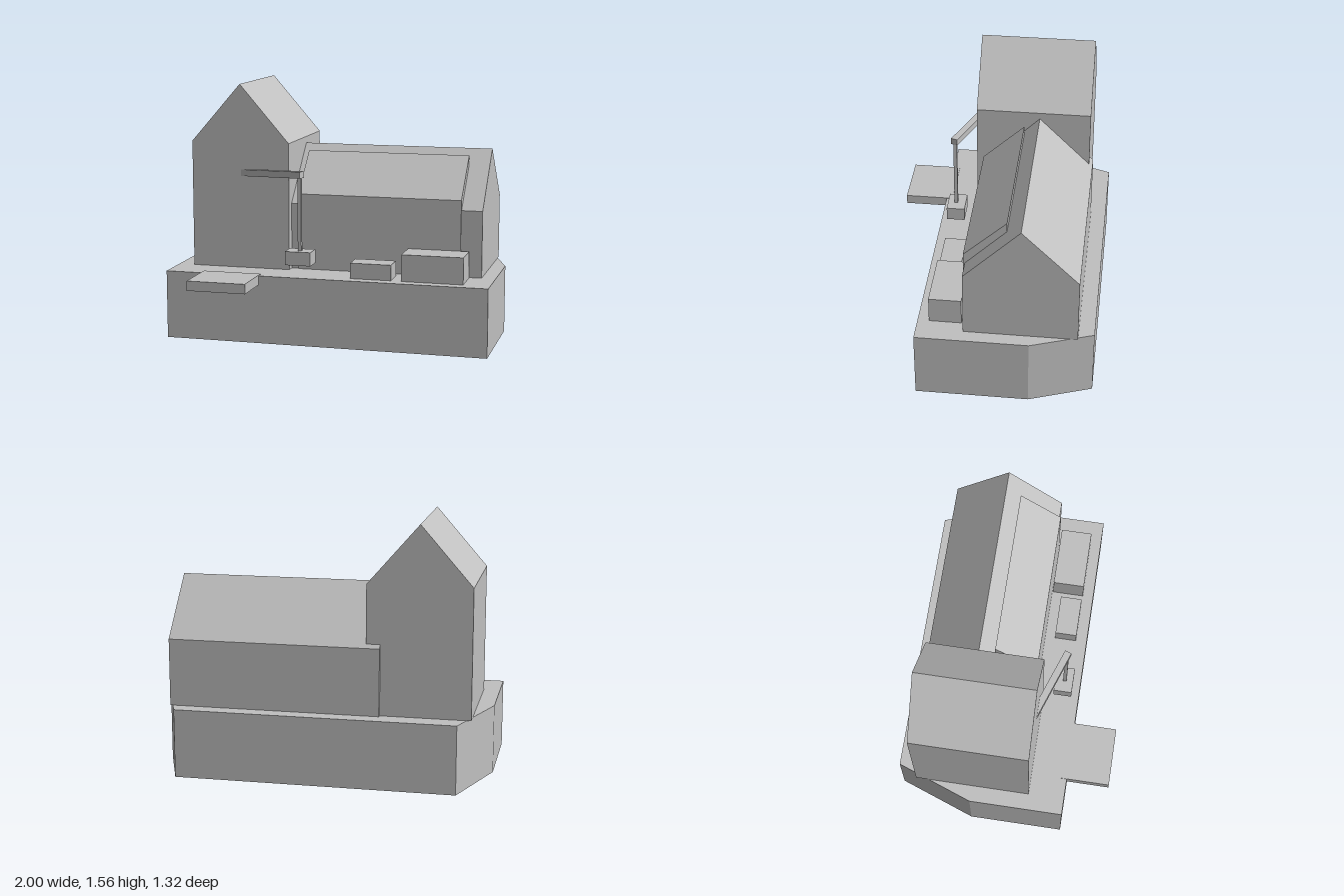
import * as THREE from 'three';

export function createModel() {
  const model = new THREE.Group();
  model.name = 'buildingBlock';
  const grey = new THREE.MeshStandardMaterial({ color: 0xc0c0c0 });
  grey.name = 'plain grey';

  const add = (name, geometry) => {
    const mesh = new THREE.Mesh(geometry, grey);
    mesh.name = name;
    model.add(mesh);
    return mesh;
  };

  // Box given by its limits on each axis
  const box = (name, [x0, x1], [y0, y1], [z0, z1]) =>
    add(name, new THREE.BoxGeometry(x1 - x0, y1 - y0, z1 - z0)
      .translate((x0 + x1) / 2, (y0 + y1) / 2, (z0 + z1) / 2));

  // Outline extruded from depth 0 along +z
  const prism = (points, depth) => new THREE.ExtrudeGeometry(
    new THREE.Shape(points.map(([a, b]) => new THREE.Vector2(a, b))),
    { depth, bevelEnabled: false });

  // Profile of [z, y] points run along x from x0 to x1
  const alongX = (name, points, x0, x1) =>
    add(name, prism(points.map(([z, y]) => [-z, y]), x1 - x0)
      .rotateY(Math.PI / 2).translate(x0, 0, 0));

  const deck = 0.42;

  // Plinth with two cut rear corners, outline as [x, -z]
  add('plinth', prism([
    [-1, -0.39], [1, -0.39], [1, 0.285], [0.865, 0.66], [-0.83, 0.66], [-1, 0.19],
  ], deck).rotateX(-Math.PI / 2));

  // Landing slab projecting from the front edge
  box('landing', [-0.77, -0.405], [0.365, 0.425], [0.35, 0.655]);

  // Tall gabled tower, ridge running front to back
  add('tower', prism([
    [-0.9, deck], [-0.277, deck], [-0.277, 1.205], [-0.588, 1.563], [-0.9, 1.205],
  ], 0.71).translate(0, 0, -0.543));

  // Long gabled hall, ridge running left to right
  alongX('hall', [
    [0.11, deck], [-0.565, deck], [-0.565, 0.828], [-0.227, 1.165], [0.11, 0.828],
  ], -0.36, 0.915);

  // Raised front bay lying over the hall wall and roof
  alongX('frontBay', [
    [0.12, deck], [0, deck], [-0.135, 1.06], [-0.135, 1.13], [0.12, 0.89],
  ], -0.232, 0.787);

  // Low boxes along the front of the hall
  box('smallBox', [0.15, 0.402], [deck, 0.515], [0.185, 0.32]);
  box('largeBox', [0.465, 0.84], [deck, 0.583], [0.128, 0.322]);

  // Bracket: block, post and slanting arm reaching into the tower
  box('postBlock', [-0.252, -0.092], [0.486, 0.57], [0.23, 0.343]);
  box('post', [-0.182, -0.16], [0.56, 1.03], [0.28, 0.302]);
  const arm = add('arm', new THREE.BoxGeometry(0.5, 0.04, 0.042).translate(-0.25, 0, 0));
  arm.position.set(-0.157, 1.035, 0.296);
  arm.rotation.set(0, -0.34, 0.045);

  return model;
}
